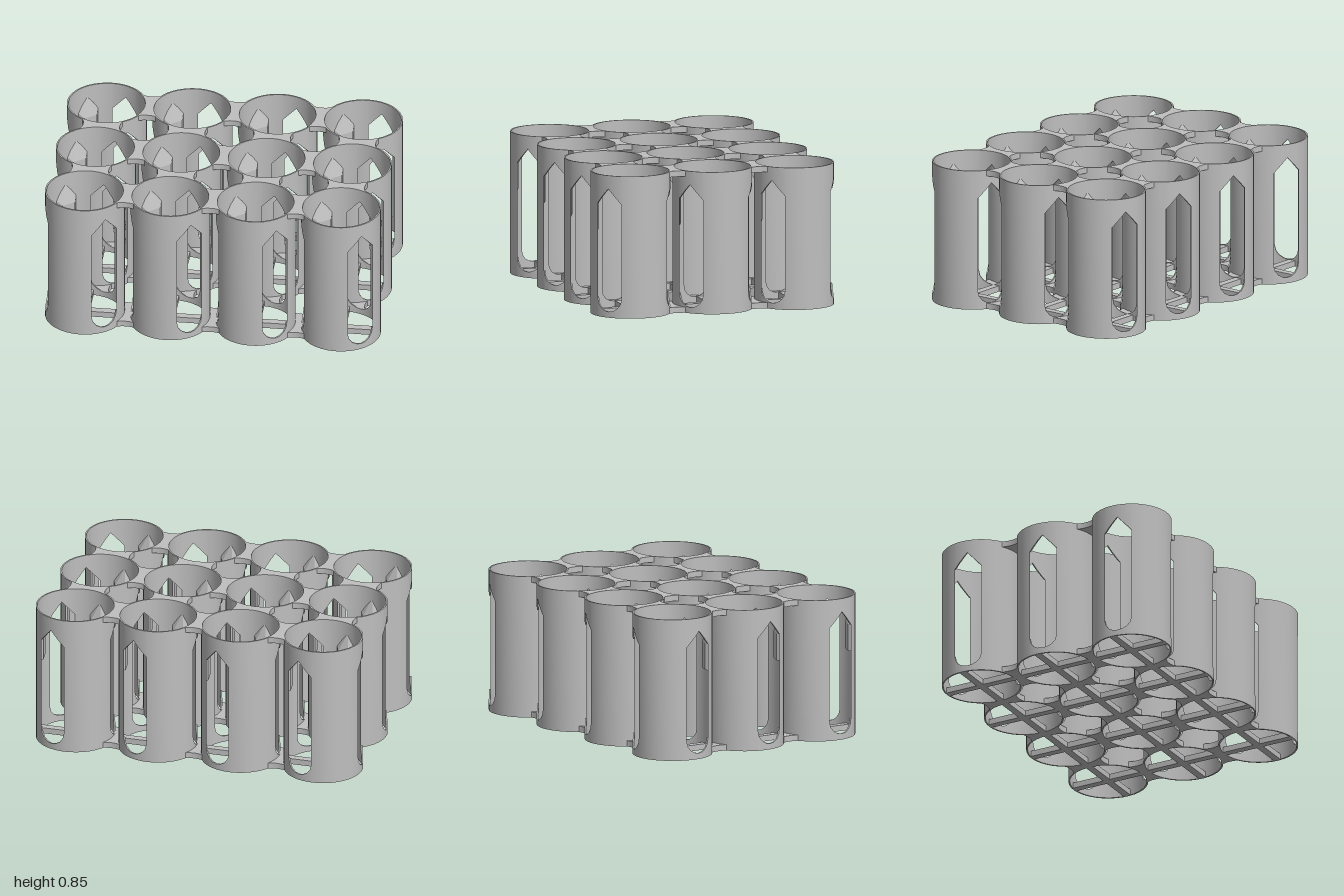
import * as THREE from 'three';
import { toCreasedNormals } from 'three/addons/utils/BufferGeometryUtils.js';
import { ConvexGeometry } from 'three/addons/geometries/ConvexGeometry.js';

const H = 0.85, PITCH = 0.508, R = 0.236, R_IN = 0.227, PLATE = 0.035;
const SLOT_HALF = 21, SLOT_START = 52;
const rad = THREE.MathUtils.degToRad;

// Slot outline: rounded bottom, pointed top (t = degrees from slot centre)
const slotBottom = t => PLATE + 0.08 * (1 - Math.sqrt(Math.max(0, 1 - (t / SLOT_HALF) ** 2)));
const slotTop = t => 0.77 - 0.09 * Math.abs(t) / SLOT_HALF;

// Thin tube wall with three slots, built column by column
function tubeGeometry() {
  const pos = [];
  const pt = (r, deg, y) => [r * Math.cos(rad(deg)), y, r * Math.sin(rad(deg))];
  const quad = (a, b, c, d) => pos.push(...a, ...b, ...c, ...a, ...c, ...d);
  const strip = (a0, a1, lo0, lo1, hi0, hi1) => {
    const o = [pt(R, a0, lo0), pt(R, a1, lo1), pt(R, a1, hi1), pt(R, a0, hi0)];
    const i = [pt(R_IN, a0, lo0), pt(R_IN, a1, lo1), pt(R_IN, a1, hi1), pt(R_IN, a0, hi0)];
    quad(o[0], o[3], o[2], o[1]);
    quad(i[0], i[1], i[2], i[3]);
    quad(o[3], i[3], i[2], o[2]);
    quad(o[0], o[1], i[1], i[0]);
  };
  const steps = [-60, -50, -40, -30, -21, -19, -14, -7, 0, 7, 14, 19, 21, 30, 40, 50, 60];
  for (let k = 0; k < 3; k++) {
    const c = SLOT_START + 120 * k;
    for (let s = 0; s < steps.length - 1; s++) {
      const t0 = steps[s], t1 = steps[s + 1], a0 = c + t0, a1 = c + t1;
      if (Math.abs(t0 + t1) / 2 < SLOT_HALF) {
        strip(a0, a1, 0, 0, slotBottom(t0), slotBottom(t1));
        strip(a0, a1, slotTop(t0), slotTop(t1), H, H);
      } else strip(a0, a1, 0, 0, H, H);
    }
    // Upright edges of the slot
    const lo = slotBottom(SLOT_HALF), hi = slotTop(SLOT_HALF);
    const l = c - SLOT_HALF, r = c + SLOT_HALF;
    quad(pt(R, l, lo), pt(R_IN, l, lo), pt(R_IN, l, hi), pt(R, l, hi));
    quad(pt(R, r, lo), pt(R, r, hi), pt(R_IN, r, hi), pt(R_IN, r, lo));
  }
  const g = new THREE.BufferGeometry();
  g.setAttribute('position', new THREE.Float32BufferAttribute(pos, 3));
  g.computeVertexNormals();
  return toCreasedNormals(g, 0.4);
}

// Flat extrusion laid on the ground plane
function slab(shape, depth) {
  const g = new THREE.ExtrudeGeometry(shape, { depth, bevelEnabled: false, curveSegments: 10 });
  return g.rotateX(-Math.PI / 2);
}

// Waisted plate joining two neighbouring tubes along x
function webShape() {
  const pts = [], h = PITCH / 2, rh = 0.145, rt = 0.232, e = rad(20.5), f = rad(30);
  const arc = (cx, cy, r, a0, a1) => {
    for (let i = 0; i <= 8; i++) {
      const a = a0 + (a1 - a0) * i / 8;
      pts.push(new THREE.Vector2(cx + r * Math.cos(a), cy + r * Math.sin(a)));
    }
  };
  arc(0, h, rh, 1.5 * Math.PI + e, 1.5 * Math.PI - e);
  arc(-h, 0, rt, f, -f);
  arc(0, -h, rh, Math.PI / 2 + e, Math.PI / 2 - e);
  arc(h, 0, rt, Math.PI + f, Math.PI - f);
  return new THREE.Shape(pts);
}

// Cross of two bars for the tube floor
function crossShape() {
  const w = 0.0225, l = 0.229;
  return new THREE.Shape([
    [w, w], [w, l], [-w, l], [-w, w], [-l, w], [-l, -w],
    [-w, -w], [-w, -l], [w, -l], [w, -w], [l, -w], [l, w],
  ].map(p => new THREE.Vector2(...p)));
}

// Wedge pad gripping the contents of a tube; inward face at smaller x
function padGeometry() {
  const pts = [new THREE.Vector3(0.23, 0.78, 0), new THREE.Vector3(0.23, 0.5, 0)];
  for (const s of [-1, 1]) {
    pts.push(
      new THREE.Vector3(0.22, 0.5, s * 0.07), new THREE.Vector3(0.22, 0.69, s * 0.07),
      new THREE.Vector3(0.188, 0.5, s * 0.042), new THREE.Vector3(0.188, 0.66, s * 0.042));
  }
  return new ConvexGeometry(pts);
}

export function createModel() {
  const model = new THREE.Group();
  model.name = 'tubeRack';
  const grey = new THREE.MeshStandardMaterial({ color: 0xbfbfbf });
  grey.name = 'lightGrey';

  const tubeGeo = tubeGeometry(), floorGeo = slab(crossShape(), PLATE);
  const padGeo = padGeometry(), webGeo = slab(webShape(), PLATE);
  const add = (parent, geo, name) => {
    const m = new THREE.Mesh(geo, grey);
    m.name = name;
    parent.add(m);
    return m;
  };

  for (let i = 0; i < 4; i++) {
    for (let j = 0; j < 3; j++) {
      const x = (i - 1.5) * PITCH, z = (j - 1) * PITCH;

      // One holder: wall, floor cross and three pads opposite the slots
      const holder = new THREE.Group();
      holder.name = 'holder';
      holder.position.set(x, 0, z);
      add(holder, tubeGeo, 'tubeWall');
      add(holder, floorGeo, 'floorCross');
      for (let k = 0; k < 3; k++) {
        add(holder, padGeo, 'gripPad').rotation.y = -rad(SLOT_START + 180 + 120 * k);
      }
      model.add(holder);

      // Joining webs at the bottom and top
      for (const y of [0, H - PLATE]) {
        if (i < 3) add(model, webGeo, 'web').position.set(x + PITCH / 2, y, z);
        if (j < 2) {
          const web = add(model, webGeo, 'web');
          web.position.set(x, y, z + PITCH / 2);
          web.rotation.y = Math.PI / 2;
        }
      }
    }
  }
  return model;
}
